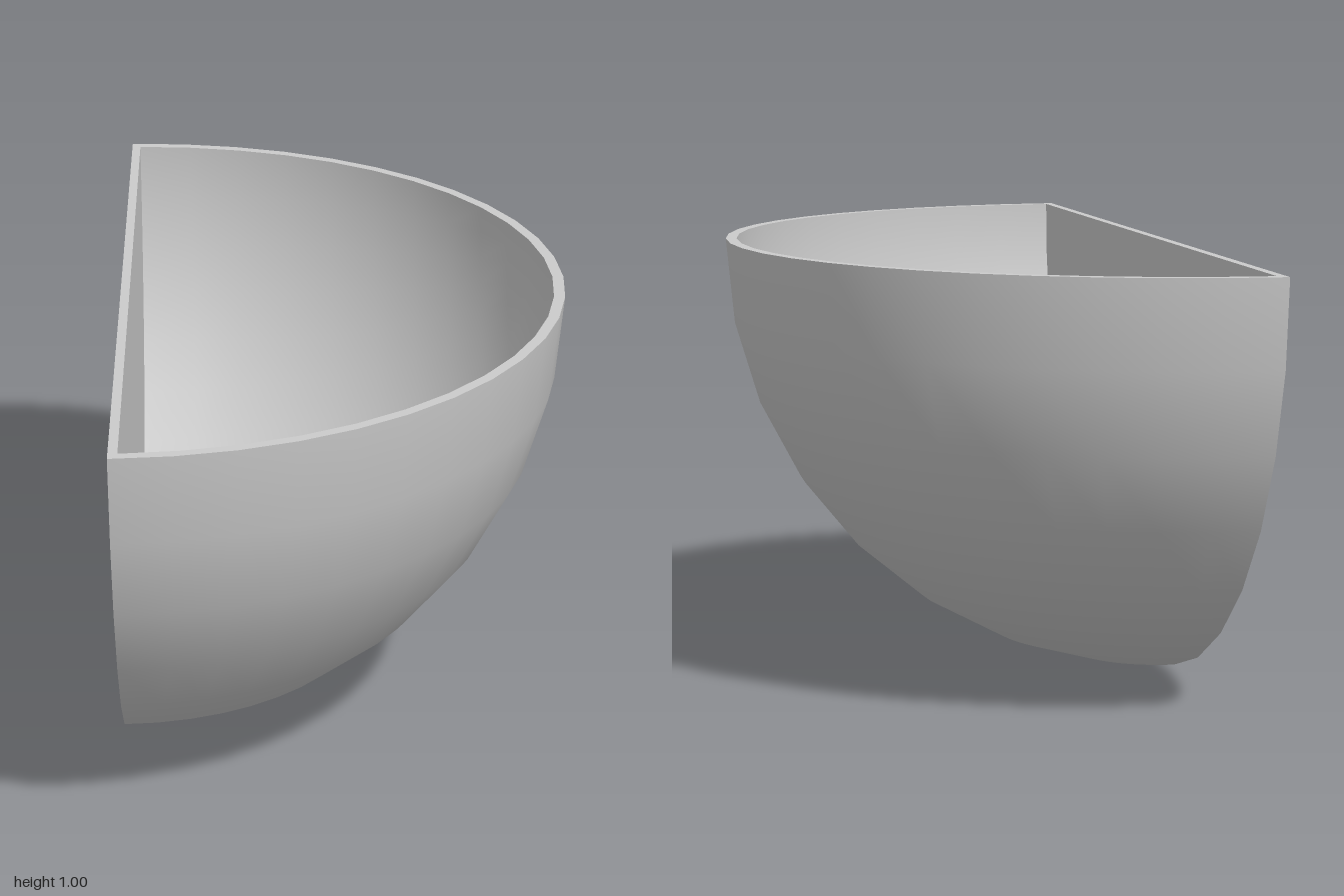
import * as THREE from 'three';

const R = 1;          // outer radius
const RI = 0.975;     // inner radius
const WALL = 0.02;    // flat wall thickness
const PROFILE = 8;    // steps from bottom to rim
const AROUND = 24;    // steps around the half bowl

// Points on an arc in the xy plane
function arc(r, from, to, n) {
  const pts = [];
  for (let i = 0; i <= n; i++) {
    const a = from + (to - from) * i / n;
    pts.push(new THREE.Vector2(r * Math.cos(a), r * Math.sin(a)));
  }
  return pts;
}

export function createModel() {
  const group = new THREE.Group();
  const material = new THREE.MeshStandardMaterial({ color: 0xcccccc });
  const add = (name, geometry) => {
    const mesh = new THREE.Mesh(geometry, material);
    mesh.name = name;
    group.add(mesh);
  };
  const half = Math.PI / 2;

  // Outer quarter sphere, revolved about the vertical axis
  const profile = arc(R, -half, 0, PROFILE);
  profile[0].x = 0;
  add('outerShell', new THREE.LatheGeometry(profile, AROUND, 0, Math.PI));

  // Inner surface, revolved about x so that it ends cleanly at the flat wall
  const edge = Math.asin(WALL / RI);
  const innerProfile = arc(RI, half, edge, 12);
  innerProfile[0].x = 0;
  const inner = new THREE.LatheGeometry(innerProfile, AROUND, 0, Math.PI);
  inner.rotateZ(-half);
  add('innerShell', inner);

  // Flat wall: outside and inside faces
  const outside = new THREE.ShapeGeometry(new THREE.Shape(arc(R, -Math.PI, 0, PROFILE * 2)));
  outside.rotateY(-half);
  add('wallOutside', outside);

  const inside = new THREE.ShapeGeometry(new THREE.Shape(arc(RI * Math.cos(edge), -Math.PI, 0, AROUND)));
  inside.rotateY(half).translate(WALL, 0, 0);
  add('wallInside', inside);

  // Thin flat rim joining both shells and the wall
  const rimShape = new THREE.Shape(arc(R, -half, half, AROUND));
  rimShape.holes.push(new THREE.Path(arc(RI, -half + edge, half - edge, 24)));
  const rim = new THREE.ShapeGeometry(rimShape);
  rim.rotateX(-half);
  add('rim', rim);

  group.children.forEach((m) => m.geometry.translate(-0.5, 1, 0));
  return group;
}
